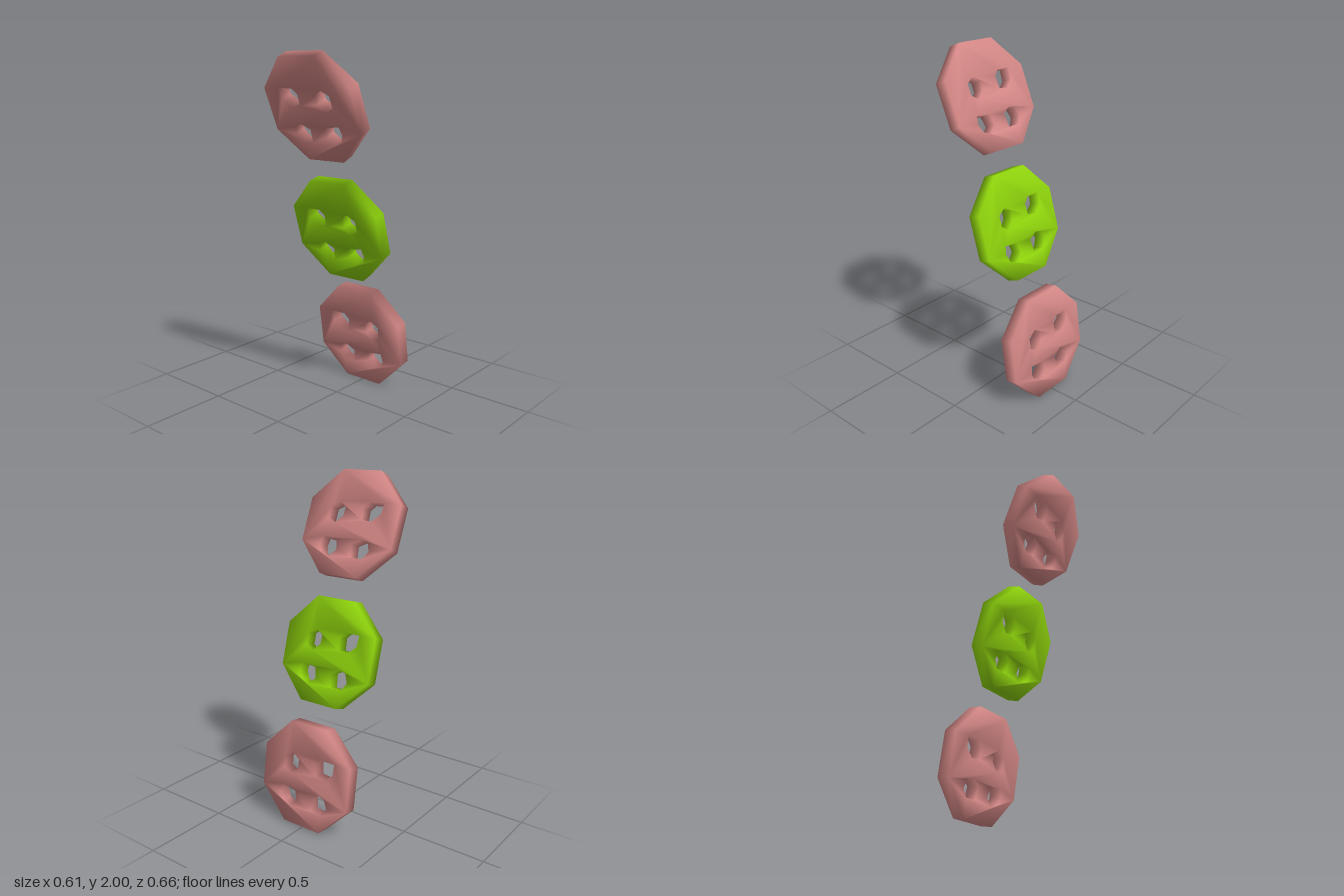
import * as THREE from 'three';
import { mergeVertices } from 'three/addons/utils/BufferGeometryUtils.js';

const RADIUS = 0.33;
const THICKNESS = 0.074;

// Irregular hand-cut holes, as corner points in the plane of the disc
const HOLES = [
  [[-0.196, 0.125], [-0.10, 0.125], [-0.069, 0.092], [-0.074, 0.022], [-0.138, 0.016], [-0.19, 0.06]],
  [[0.053, 0.088], [0.10, 0.117], [0.153, 0.085], [0.153, 0.018], [0.106, -0.01], [0.056, 0.034]],
  [[-0.148, -0.098], [-0.106, -0.086], [-0.048, -0.118], [-0.058, -0.196], [-0.138, -0.196], [-0.169, -0.15]],
  [[0.063, -0.102], [0.159, -0.09], [0.169, -0.138], [0.148, -0.184], [0.095, -0.206], [0.048, -0.162]],
];

const toPoints = (list) => list.map(([x, y]) => new THREE.Vector2(x, y));

// Octagonal plate with four holes, smooth shaded across its edges
function buttonGeometry() {
  const corners = [];
  for (let i = 0; i < 8; i++) {
    const a = (i + 0.5) * Math.PI / 4;
    corners.push(new THREE.Vector2(RADIUS * Math.cos(a), RADIUS * Math.sin(a)));
  }
  const shape = new THREE.Shape(corners);
  for (const hole of HOLES) shape.holes.push(new THREE.Path(toPoints(hole)));

  const extruded = new THREE.ExtrudeGeometry(shape, { depth: THICKNESS, bevelEnabled: false });
  extruded.translate(0, 0, -THICKNESS / 2);
  extruded.deleteAttribute('uv');
  extruded.deleteAttribute('normal');
  extruded.clearGroups();
  const geometry = mergeVertices(extruded, 1e-4);
  geometry.computeVertexNormals();
  return geometry;
}

export function createModel() {
  const group = new THREE.Group();
  group.name = 'buttonRow';

  const pink = new THREE.MeshStandardMaterial({ color: 0xd48886 });
  pink.name = 'dusty pink';
  const green = new THREE.MeshStandardMaterial({ color: 0x8fd40c });
  green.name = 'lime green';

  const geometry = buttonGeometry();

  // Three buttons, leaning further forward towards the top
  const buttons = [
    { name: 'bottomButton', material: pink, y: 0.311, z: -0.248, tilt: 8.5 },
    { name: 'middleButton', material: green, y: 1.004, z: -0.037, tilt: 16.5 },
    { name: 'topButton', material: pink, y: 1.704, z: 0.173, tilt: 23 },
  ];
  for (const { name, material, y, z, tilt } of buttons) {
    const button = new THREE.Mesh(geometry, material);
    button.name = name;
    button.position.set(0, y, z);
    button.rotation.x = THREE.MathUtils.degToRad(tilt);
    group.add(button);
  }
  return group;
}
